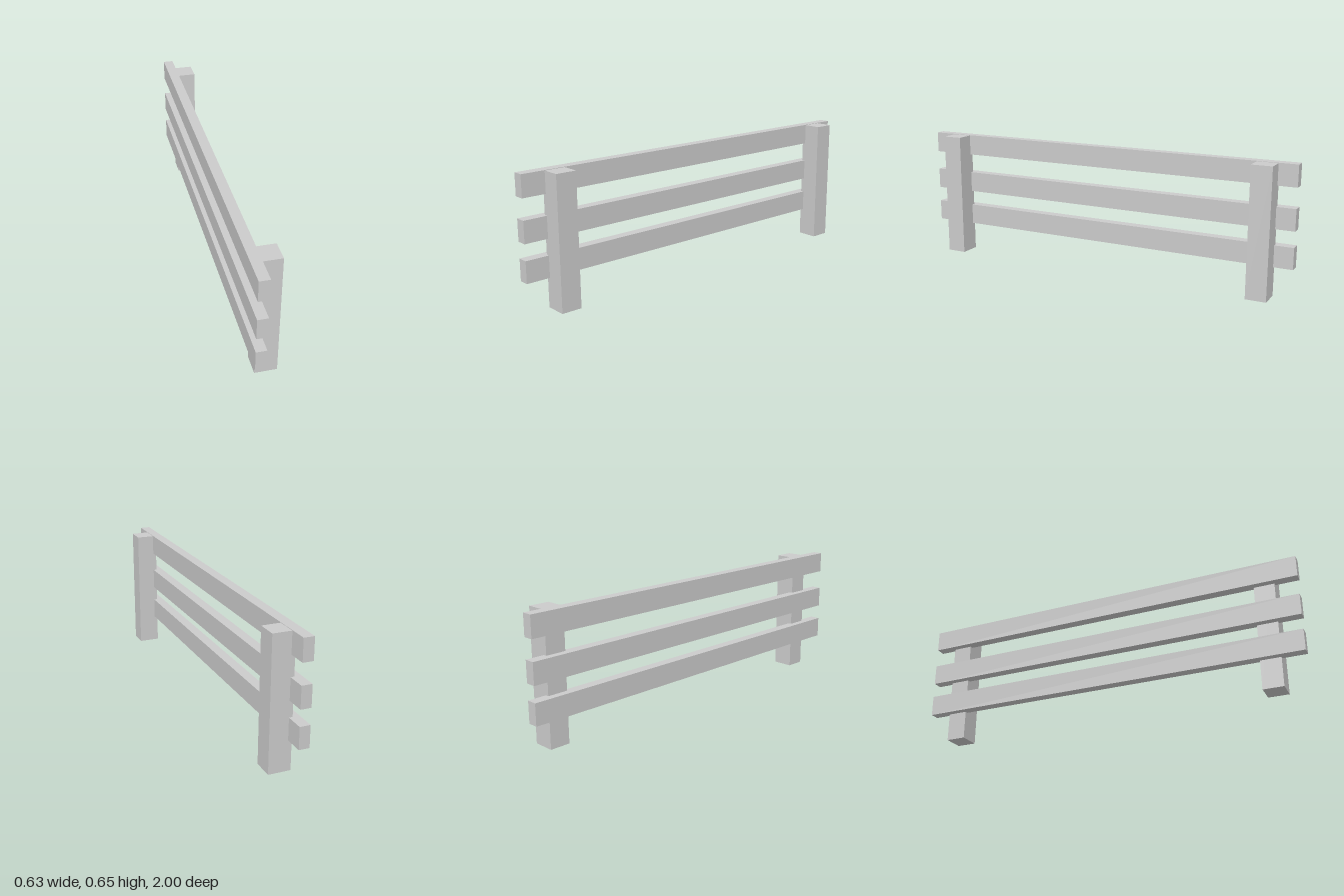
import * as THREE from 'three';

export function createModel() {
  const model = new THREE.Group();
  model.name = 'fence';

  // The fence runs along its own z axis, then is turned about y
  const fence = new THREE.Group();
  fence.name = 'fencePanel';
  fence.position.x = -0.0295;
  fence.rotation.y = 0.2553;
  model.add(fence);

  const material = new THREE.MeshStandardMaterial({ color: 0xcccccc, flatShading: true });

  function addBeam(name, width, height, depth, x, bottom, z) {
    const mesh = new THREE.Mesh(new THREE.BoxGeometry(width, height, depth), material);
    mesh.name = name;
    mesh.position.set(x, bottom + height / 2, z);
    fence.add(mesh);
  }

  // Three horizontal rails
  const rails = { lowerRail: 0.148, middleRail: 0.334, upperRail: 0.542 };
  for (const [name, bottom] of Object.entries(rails)) {
    addBeam(name, 0.0515, 0.1075, 2.054, 0, bottom, 0);
  }

  // Two posts, set slightly into one side of the rails
  addBeam('frontPost', 0.1085, 0.6475, 0.103, 0.0625, 0, 0.8556);
  addBeam('backPost', 0.1085, 0.6475, 0.103, 0.0625, 0, -0.881);

  return model;
}
